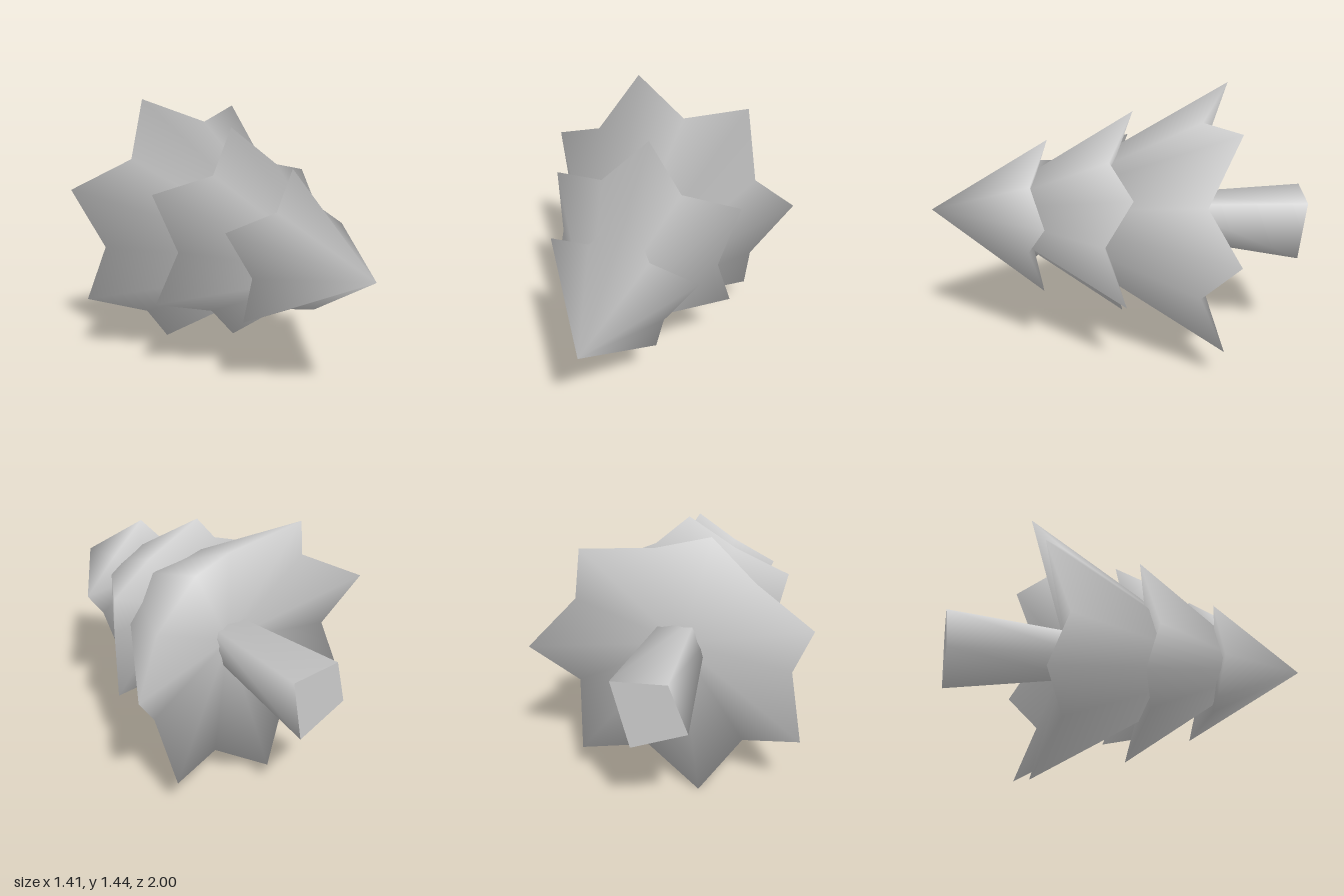
import * as THREE from 'three';

const grey = new THREE.MeshStandardMaterial({ color: 0xcccccc });
grey.name = 'plain grey';

// Smooth shell through loops of [x, y, z] running clockwise seen from +z; a loop may
// be a single point. forward[k] lists, in rotation, the z part of loop k's normals.
function shell(name, loops, forward) {
  const n = Math.max(...loops.map((l) => l.length));
  const pos = [], nor = [], index = [], starts = [];
  loops.forEach((loop, k) => {
    starts.push(pos.length / 3);
    const c = new THREE.Vector3();
    loop.forEach((p) => c.add(new THREE.Vector3(...p)));
    c.divideScalar(loop.length);
    loop.forEach((p, i) => {
      pos.push(...p);
      const f = forward[k][i % forward[k].length];
      const r = new THREE.Vector3(p[0] - c.x, p[1] - c.y, 0).normalize();
      r.multiplyScalar(Math.sqrt(1 - f * f)).setZ(f);
      nor.push(r.x, r.y, r.z);
    });
  });
  for (let k = 0; k < loops.length - 1; k++) {
    const at = (m, i) => starts[m] + (i % loops[m].length);
    for (let i = 0; i < n; i++) {
      if (loops[k + 1].length > 1) index.push(at(k, i), at(k + 1, i + 1), at(k + 1, i));
      if (loops[k].length > 1) index.push(at(k, i), at(k, i + 1), at(k + 1, i + 1));
    }
  }
  const g = new THREE.BufferGeometry();
  g.setAttribute('position', new THREE.Float32BufferAttribute(pos, 3));
  g.setAttribute('normal', new THREE.Float32BufferAttribute(nor, 3));
  g.setIndex(index);
  const mesh = new THREE.Mesh(g, grey);
  mesh.name = name;
  return mesh;
}

// Star-rimmed cones: point and notch alternate around each rim
const tiers = [
  {
    name: 'topTier', apex: [0.02, 0.8, 1], base: [0.01, 0.79, 0.5],
    rim: [
      [0.05, 1.2, 0.365], [0.18, 0.985, 0.45], [0.41, 0.84, 0.36], [0.26, 0.65, 0.46], [0.2, 0.4, 0.39],
      [-0.03, 0.49, 0.46], [-0.29, 0.465, 0.4], [-0.28, 0.72, 0.46], [-0.375, 0.95, 0.37], [-0.13, 1.03, 0.46],
    ],
  },
  {
    name: 'middleTier', apex: [0, 0.79, 0.8], base: [0, 0.76, 0.12],
    rim: [
      [0, 1.34, -0.08], [0.215, 1.13, 0.04], [0.505, 1.03, -0.08], [0.43, 0.75, 0.06],
      [0.485, 0.445, -0.05], [0.2, 0.38, 0.06], [-0.03, 0.165, -0.03], [-0.24, 0.395, 0.06],
      [-0.53, 0.475, -0.035], [-0.445, 0.775, 0.06], [-0.515, 1.065, -0.06], [-0.215, 1.14, 0.05],
    ],
  },
  {
    name: 'bottomTier', apex: [0, 0.78, 0.63], base: [-0.01, 0.75, -0.34],
    rim: [
      [-0.23, 1.44, -0.595], [0.08, 1.3, -0.44], [0.4, 1.33, -0.605], [0.5, 0.99, -0.44], [0.705, 0.77, -0.59],
      [0.51, 0.51, -0.42], [0.465, 0.18, -0.555], [0.14, 0.175, -0.44], [-0.155, 0, -0.53],
      [-0.36, 0.26, -0.41], [-0.67, 0.375, -0.53], [-0.6, 0.7, -0.42], [-0.71, 1.01, -0.565], [-0.41, 1.16, -0.43],
    ],
  },
];

export function createModel() {
  const tree = new THREE.Group();
  tree.name = 'tree';

  for (const t of tiers) {
    tree.add(shell(t.name, [[t.apex], t.rim, [t.base]], [[1], [-0.59, -0.37], [-1]]));
  }

  // Four-sided trunk with a flat end, flaring towards its foot
  const foot = [[-0.13, 0.895, -1], [0.14, 0.88, -1], [0.06, 0.53, -0.985], [-0.215, 0.64, -0.98]];
  const neck = foot.map(([x, y]) => [-0.02 + (x + 0.035) * 0.58, 0.76 + (y - 0.725) * 0.58, -0.25]);
  tree.add(shell('trunkSides', [neck, foot], [[0.15], [0]]));
  tree.add(shell('trunkEnd', [foot, [[-0.035, 0.735, -0.99]]], [[-1], [-1]]));

  return tree;
}
